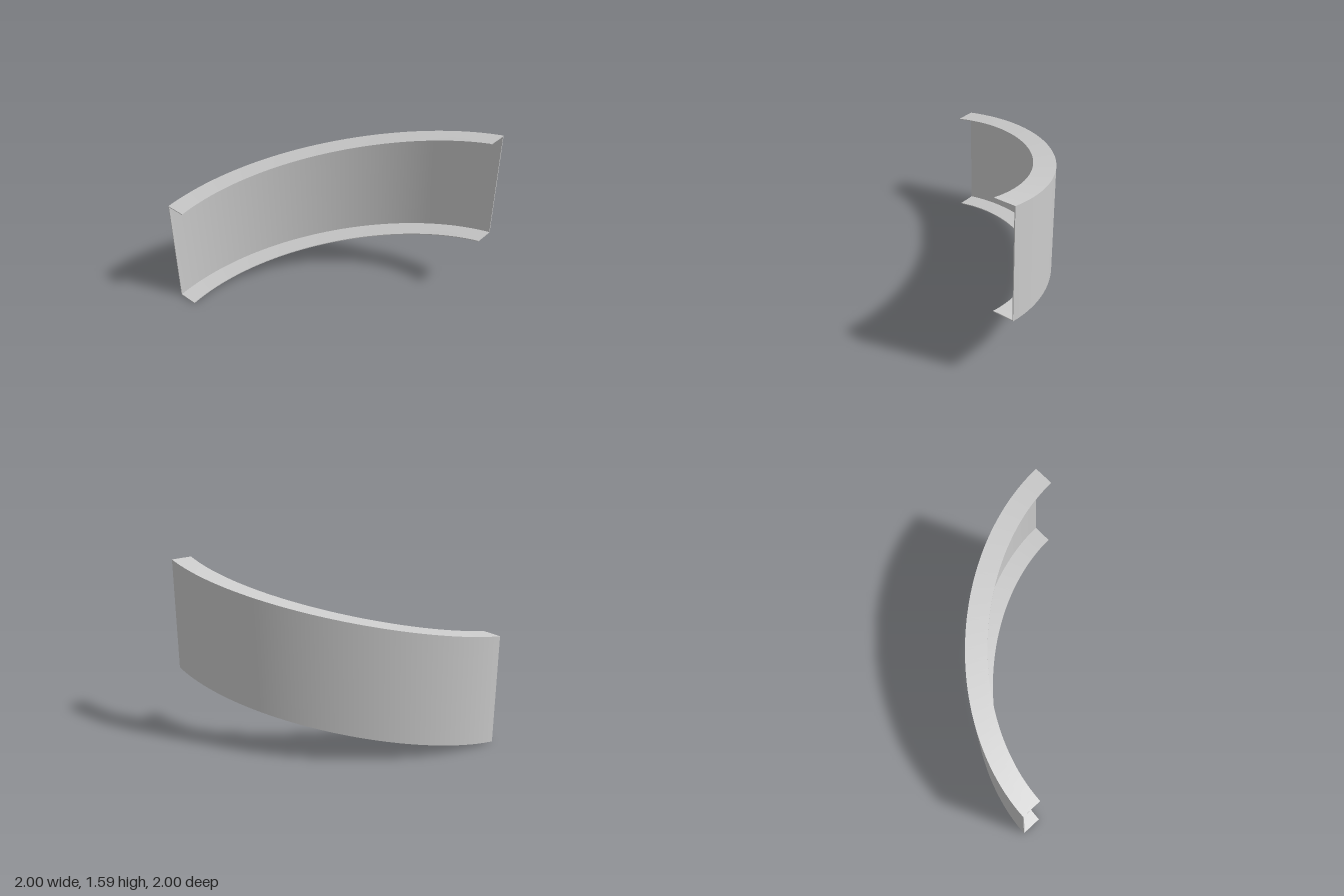
import * as THREE from 'three';
import { toCreasedNormals } from 'three/addons/utils/BufferGeometryUtils.js';

const WIDTH = 0.185, HEIGHT = 0.997, T = 0.008, STEPS = 64;

// Rising path followed by the lower outer edge
const PATH = new THREE.CubicBezierCurve3(
  new THREE.Vector3(-1, 0, 1),
  new THREE.Vector3(-1, 0.16, 0),
  new THREE.Vector3(0, 0.39, -1),
  new THREE.Vector3(1, 0.597, -1),
);

// C-shaped channel section as [inward offset, height]
const SECTION = [
  [0, 0], [0, HEIGHT], [WIDTH, HEIGHT], [WIDTH, HEIGHT - T],
  [T, HEIGHT - T], [T, T], [WIDTH, T], [WIDTH, 0],
];
// The section split into web, top flange and bottom flange for the end caps
const CAPS = [[0, 1, 4, 5], [1, 2, 3, 4], [0, 5, 6, 7]];

// Sweep the section along the path, keeping it upright
function channelGeometry() {
  const n = SECTION.length, positions = [], index = [];
  for (let i = 0; i <= STEPS; i++) {
    const p = PATH.getPoint(i / STEPS);
    const tangent = PATH.getTangent(i / STEPS);
    const inward = new THREE.Vector3(-tangent.z, 0, tangent.x).normalize();
    for (const [d, y] of SECTION) {
      positions.push(p.x + inward.x * d, p.y + y, p.z + inward.z * d);
    }
  }
  const quad = (a, b, c, d) => index.push(a, b, c, a, c, d);
  for (let i = 0; i < STEPS; i++) {
    for (let k = 0; k < n; k++) {
      const k1 = (k + 1) % n;
      quad(i * n + k, i * n + k1, (i + 1) * n + k1, (i + 1) * n + k);
    }
  }
  const last = STEPS * n;
  for (const [a, b, c, d] of CAPS) {
    quad(d, c, b, a);
    quad(last + a, last + b, last + c, last + d);
  }
  const geometry = new THREE.BufferGeometry();
  geometry.setAttribute('position', new THREE.Float32BufferAttribute(positions, 3));
  geometry.setIndex(index);
  return toCreasedNormals(geometry, 0.5);
}

export function createModel() {
  const group = new THREE.Group();
  group.name = 'curvedStringer';
  const channel = new THREE.Mesh(
    channelGeometry(),
    new THREE.MeshStandardMaterial({ color: 0xcccccc }),
  );
  channel.name = 'curvedChannel';
  group.add(channel);
  return group;
}
